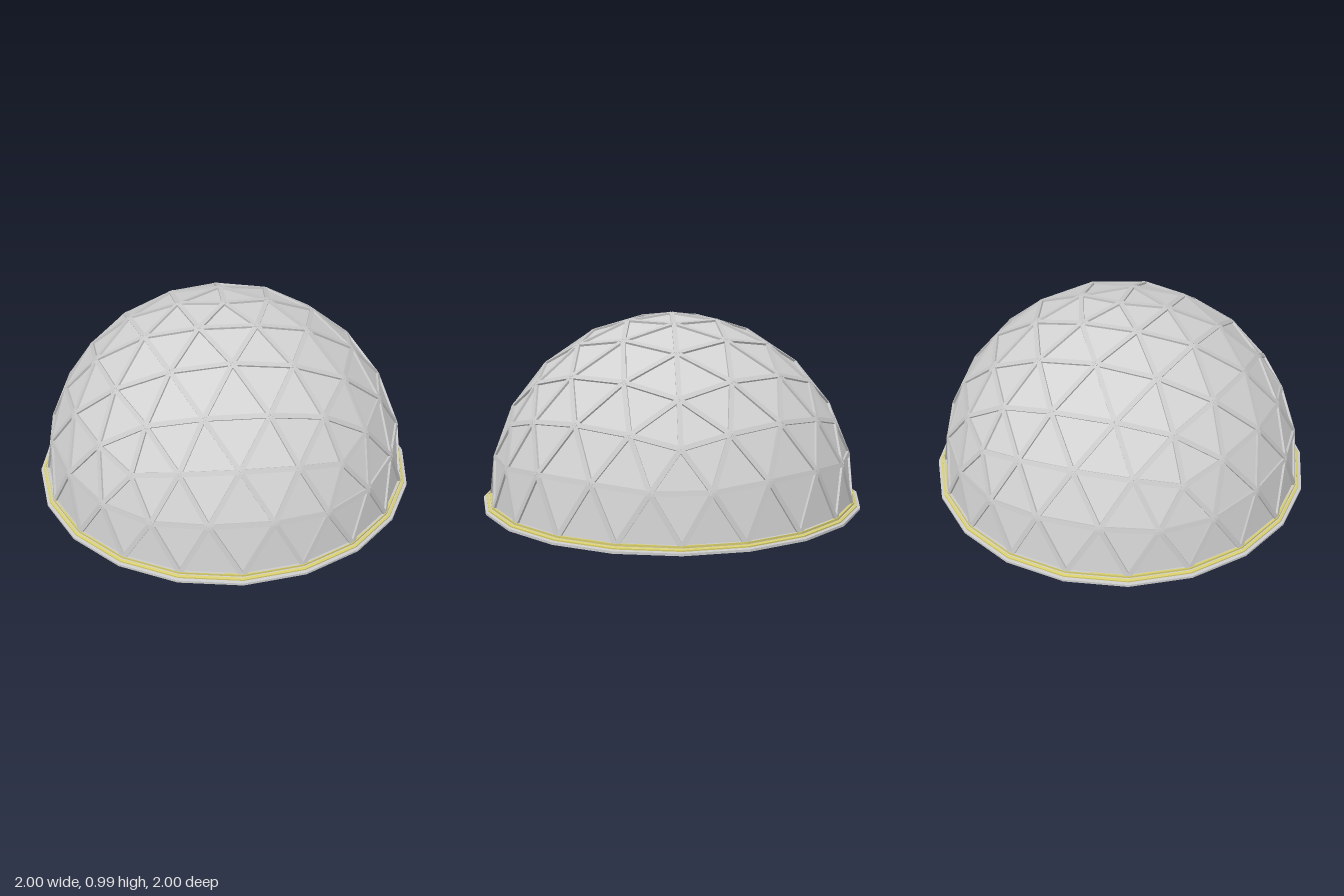
import * as THREE from 'three';
import { mergeGeometries } from 'three/addons/utils/BufferGeometryUtils.js';

const RADIUS = 0.955, BASE_Y = 0.024, FREQ = 4;
const STRUT_WIDTH = 0.024, STRUT_DEPTH = 0.02;

// Icosahedron standing on a vertex: cap and belt faces that reach above the equator
function icosaFaces() {
  const ring = (k, sign, offset) => {
    const a = (k * 72 + offset) * Math.PI / 180, r = 2 / Math.sqrt(5);
    return new THREE.Vector3(r * Math.cos(a), sign / Math.sqrt(5), r * Math.sin(a));
  };
  const apex = new THREE.Vector3(0, 1, 0), faces = [];
  for (let k = 0; k < 5; k++) {
    const u0 = ring(k, 1, 0), u1 = ring(k + 1, 1, 0);
    const l0 = ring(k, -1, 36), l1 = ring(k + 1, -1, 36);
    faces.push([apex, u0, u1], [u0, l0, u1], [u1, l0, l1]);
  }
  return faces;
}

// Split every face into FREQ x FREQ triangles and keep the upper half
function domeTriangles() {
  const triangles = [];
  for (const [a, b, c] of icosaFaces()) {
    const point = (i, j) => new THREE.Vector3()
      .addScaledVector(a, (FREQ - i - j) / FREQ)
      .addScaledVector(b, i / FREQ)
      .addScaledVector(c, j / FREQ)
      .normalize().multiplyScalar(RADIUS);
    for (let i = 0; i < FREQ; i++) {
      for (let j = 0; j < FREQ - i; j++) {
        triangles.push([point(i, j), point(i + 1, j), point(i, j + 1)]);
        if (i + j < FREQ - 1) triangles.push([point(i + 1, j), point(i + 1, j + 1), point(i, j + 1)]);
      }
    }
  }
  return triangles.filter(t => t.every(p => p.y > -1e-4)).map(t => {
    const normal = t[1].clone().sub(t[0]).cross(t[2].clone().sub(t[0]));
    return normal.dot(t[0]) < 0 ? [t[0], t[2], t[1]] : t;
  });
}

// Rectangular bar between two nodes, its depth pointing away from the dome centre
function strut(a, b) {
  const along = b.clone().sub(a), length = along.length();
  along.normalize();
  const middle = a.clone().add(b).multiplyScalar(0.5);
  const out = middle.clone().normalize();
  const side = out.clone().cross(along);
  const matrix = new THREE.Matrix4().makeBasis(side, out, along).setPosition(middle);
  return new THREE.BoxGeometry(STRUT_WIDTH, STRUT_DEPTH, length).applyMatrix4(matrix);
}

// Twenty-sided ring with flat faces from a closed [radius, height] profile
function ringGeometry(profile) {
  const points = [...profile, profile[0]].map(([r, y]) => new THREE.Vector2(r, y));
  const geometry = new THREE.LatheGeometry(points, 20).toNonIndexed();
  geometry.computeVertexNormals();
  return geometry;
}

export function createModel() {
  const panelGrey = new THREE.MeshStandardMaterial({ color: 0xd2d2d2, side: THREE.DoubleSide });
  panelGrey.name = 'panelGrey';
  const frameGrey = new THREE.MeshStandardMaterial({ color: 0xcacaca });
  frameGrey.name = 'frameGrey';
  const sealYellow = new THREE.MeshStandardMaterial({ color: 0xd6cc6c });
  sealYellow.name = 'sealYellow';

  const model = new THREE.Group();
  model.name = 'geodesicDome';
  const add = (name, geometry, material, y = 0) => {
    const mesh = new THREE.Mesh(geometry, material);
    mesh.name = name;
    mesh.position.y = y;
    model.add(mesh);
  };

  // Triangular panels
  const triangles = domeTriangles();
  const panels = new THREE.BufferGeometry().setFromPoints(triangles.flat());
  panels.computeVertexNormals();
  add('panels', panels, panelGrey, BASE_Y);

  // One strut along every shared edge
  const edges = new Map();
  const key = p => p.toArray().map(v => Math.round(v * 1000) + 0).join();
  for (const t of triangles) {
    t.forEach((a, i) => {
      const b = t[(i + 1) % 3];
      edges.set([key(a), key(b)].sort().join('|'), [a, b]);
    });
  }
  add('struts', mergeGeometries([...edges.values()].map(([a, b]) => strut(a, b))), frameGrey, BASE_Y);

  // Base flange, stepped up towards the dome wall
  add('baseFlange', ringGeometry([
    [0.93, 0], [1, 0], [1, 0.012], [0.982, 0.016], [0.982, 0.02], [0.966, 0.024], [0.966, 0.034], [0.93, 0.034],
  ]), frameGrey);

  // Yellow sealing strips on the two steps
  add('outerSeal', ringGeometry([[0.974, 0.014], [0.985, 0.014], [0.985, 0.022], [0.974, 0.026]]), sealYellow);
  add('innerSeal', ringGeometry([[0.958, 0.026], [0.968, 0.026], [0.968, 0.036], [0.958, 0.036]]), sealYellow);

  return model;
}
